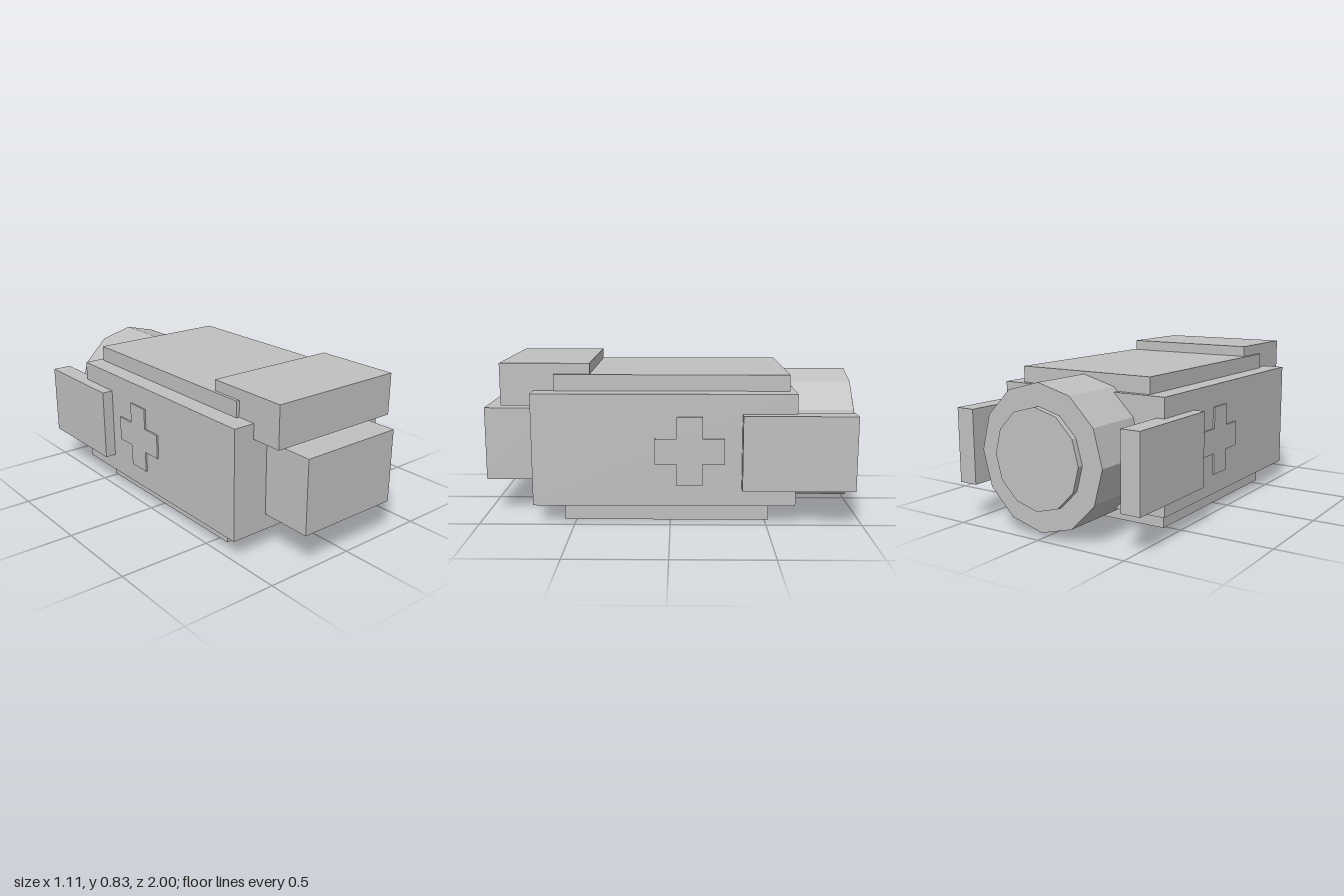
import * as THREE from 'three';

export function createModel() {
  const model = new THREE.Group();
  const grey = new THREE.MeshStandardMaterial({ color: 0xc0c0c0 });
  grey.name = 'plain grey';

  const add = (name, geometry) => {
    const mesh = new THREE.Mesh(geometry, grey);
    mesh.name = name;
    model.add(mesh);
    return mesh;
  };

  // Box given by its lower and upper bounds on each axis
  const box = (name, [x0, x1], [y0, y1], [z0, z1]) =>
    add(name, new THREE.BoxGeometry(x1 - x0, y1 - y0, z1 - z0))
      .position.set((x0 + x1) / 2, (y0 + y1) / 2, (z0 + z1) / 2);

  // Twelve-sided drum lying along z
  const drum = (name, radius, z0, z1) => {
    const geometry = new THREE.CylinderGeometry(radius, radius, z1 - z0, 12).toNonIndexed();
    geometry.computeVertexNormals();
    geometry.rotateX(Math.PI / 2);
    add(name, geometry).position.set(0, 0.395, (z0 + z1) / 2);
  };

  // Main hull with its roof and floor slabs
  box('hull', [-0.495, 0.495], [0.102, 0.69], [-0.65, 0.715]);
  box('roofSlab', [-0.395, 0.395], [0.6, 0.775], [-0.62, 0.608]);
  box('floorSlab', [-0.41, 0.41], [0, 0.15], [-0.52, 0.56]);

  // Nose block and the overhanging cab above it
  box('noseBlock', [-0.293, 0.293], [0.187, 0.582], [0.6, 1]);
  box('cab', [-0.378, 0.378], [0.61, 0.832], [0.42, 0.89]);

  // Rear engine and its raised end cap
  drum('engine', 0.366, -0.97, -0.4);
  drum('engineCap', 0.253, -1, -0.9);

  // Cross outline, centred on its own middle
  const long = 0.181, thin = 0.067;
  const outline = [
    [thin, long], [-thin, long], [-thin, thin], [-long, thin],
    [-long, -thin], [-thin, -thin], [-thin, -long], [thin, -long],
    [thin, -thin], [long, -thin], [long, thin], [thin, thin],
  ].map(([x, y]) => new THREE.Vector2(x, y));
  const cross = new THREE.ExtrudeGeometry(new THREE.Shape(outline), { depth: 0.009, bevelEnabled: false });

  // Side fins and raised crosses on both flanks
  for (const side of [1, -1]) {
    const label = side > 0 ? 'left' : 'right';
    const xs = side > 0 ? [0.45, 0.555] : [-0.555, -0.45];
    box(label + 'Fin', xs, [0.196, 0.587], [-0.95, -0.37]);
    const mark = add(label + 'Cross', cross);
    mark.rotation.y = side * Math.PI / 2;
    mark.position.set(side * 0.495, 0.392, -0.1);
  }

  return model;
}
